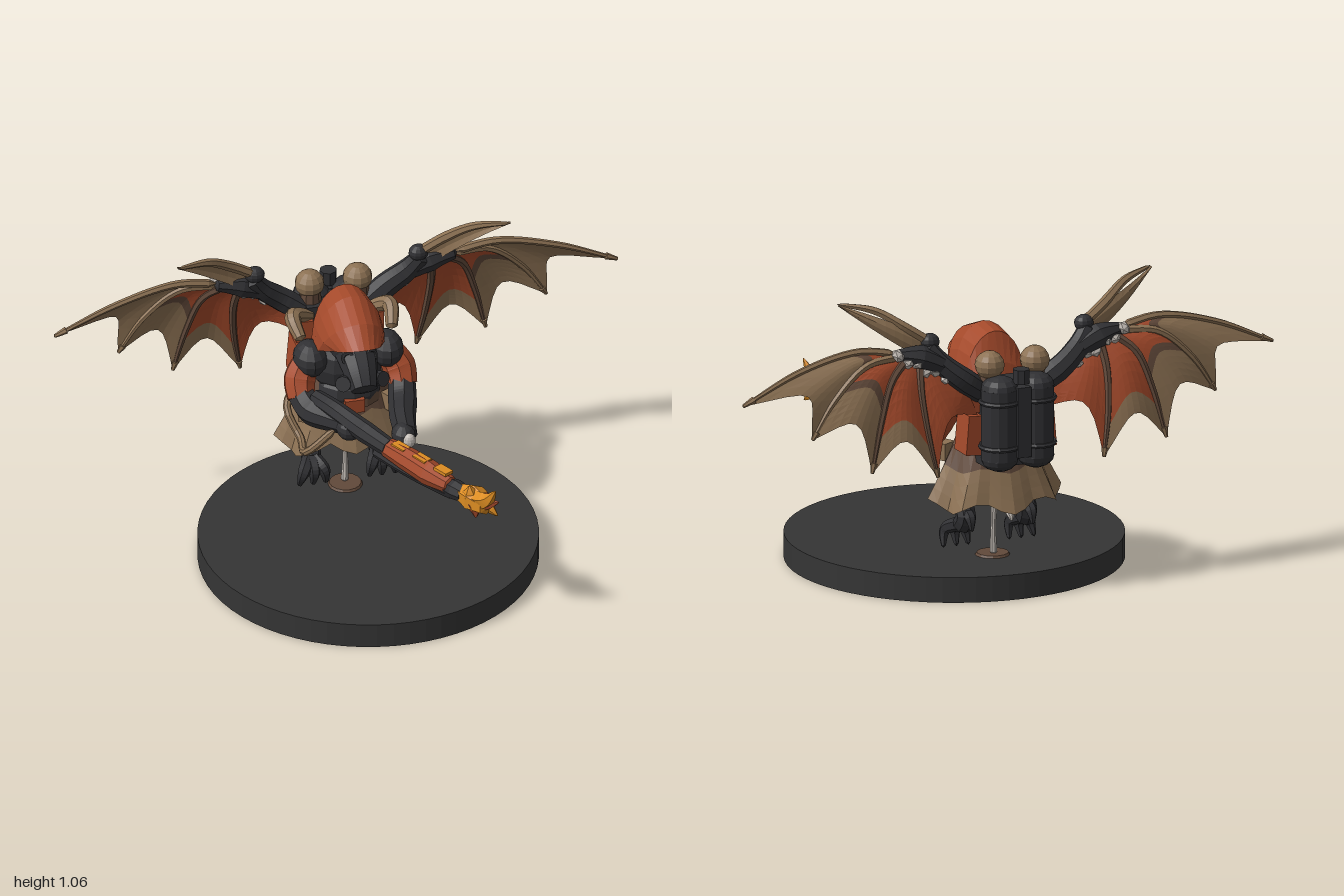
import * as THREE from 'three';

const mat = (name, color) => {
  const m = new THREE.MeshStandardMaterial({ color, flatShading: true, side: THREE.DoubleSide });
  m.name = name;
  return m;
};

export function createModel() {
  const M = {
    base: mat('base grey', 0x353535), dark: mat('charcoal', 0x303033),
    rust: mat('rust red', 0xa54a2b), tan: mat('tan leather', 0x8c7153),
    brown: mat('dark brown', 0x61493a), bone: mat('bone white', 0xc4bdb6),
    orange: mat('flame orange', 0xdc8c22),
  };
  const root = new THREE.Group();
  root.name = 'wingedWarrior';
  const V = (p) => new THREE.Vector3(...p);
  const add = (name, geo, m, p = [0, 0, 0], r = [0, 0, 0], s = [1, 1, 1]) => {
    const mesh = new THREE.Mesh(geo, m);
    mesh.name = name;
    mesh.position.set(...p);
    mesh.rotation.set(...r);
    mesh.scale.set(...s);
    root.add(mesh);
    return mesh;
  };
  const ball = (name, m, p, s) => add(name, new THREE.SphereGeometry(1, 12, 8), m, p, [0, 0, 0], s);
  const box = (name, m, p, s, r) => add(name, new THREE.BoxGeometry(...s), m, p, r);

  // Tapered tube through points, closed at both ends
  const limb = (name, m, pts, radii, sides = 8) => {
    const curve = new THREE.CatmullRomCurve3(pts.map(V));
    const n = 18;
    const g = new THREE.TubeGeometry(curve, n, 1, sides);
    const pos = g.attributes.position, v = new THREE.Vector3();
    for (let i = 0; i <= n; i++) {
      const c = curve.getPointAt(i / n), f = (i / n) * (radii.length - 1);
      const k = Math.min(Math.floor(f), radii.length - 2);
      const r = i === 0 || i === n ? 0.0005 : THREE.MathUtils.lerp(radii[k], radii[k + 1], f - k);
      for (let j = 0; j <= sides; j++) {
        const id = i * (sides + 1) + j;
        v.fromBufferAttribute(pos, id).sub(c).multiplyScalar(r).add(c);
        pos.setXYZ(id, v.x, v.y, v.z);
      }
    }
    return add(name, g, m);
  };

  // Grid surface from a rule f(u, v) giving a point
  const surface = (name, m, nu, nv, f) => {
    const pos = [], idx = [];
    for (let j = 0; j <= nv; j++) for (let i = 0; i <= nu; i++) pos.push(...f(i / nu, j / nv));
    for (let j = 0; j < nv; j++) for (let i = 0; i < nu; i++) {
      const a = j * (nu + 1) + i, b = a + nu + 1;
      idx.push(a, b, a + 1, b, b + 1, a + 1);
    }
    const g = new THREE.BufferGeometry();
    g.setAttribute('position', new THREE.Float32BufferAttribute(pos, 3));
    g.setIndex(idx);
    g.computeVertexNormals();
    return add(name, g, m);
  };
  const lerp = THREE.MathUtils.lerp;

  // Display base and support rod
  add('base', new THREE.CylinderGeometry(0.587, 0.587, 0.09, 64), M.base, [0, 0.045, 0]);
  add('rodFoot', new THREE.CylinderGeometry(0.055, 0.06, 0.008, 16), M.brown, [0, 0.094, -0.32]);
  limb('supportRod', M.bone, [[0, 0.09, -0.33], [0.004, 0.18, -0.335], [0, 0.32, -0.34]], [0.014, 0.009, 0.015]);

  // Torso, belt and head
  ball('torso', M.dark, [0, 0.61, -0.32], [0.135, 0.13, 0.12]);
  ball('belly', M.dark, [0, 0.51, -0.3], [0.12, 0.09, 0.11]);
  add('belt', new THREE.CylinderGeometry(0.125, 0.13, 0.035, 16, 1, true), M.brown, [0, 0.49, -0.32]);
  box('buckle', M.rust, [0, 0.49, -0.19], [0.07, 0.05, 0.02]);
  ball('head', M.dark, [0, 0.735, -0.22], [0.085, 0.085, 0.11]);
  limb('maskSnout', M.dark, [[0, 0.72, -0.18], [0, 0.68, -0.1], [0, 0.635, -0.045]], [0.075, 0.062, 0.045], 10);
  ball('chin', M.dark, [0, 0.645, -0.12], [0.05, 0.035, 0.07]);
  for (const s of [1, -1]) {
    add('maskEye', new THREE.TorusGeometry(0.02, 0.007, 6, 12), M.dark, [s * 0.04, 0.735, -0.115], [-0.3, s * 0.4, 0]);
    add('maskFilter', new THREE.CylinderGeometry(0.028, 0.028, 0.05, 10), M.dark, [s * 0.06, 0.655, -0.09], [1.2, 0, s * -0.5]);
  }

  // Hood: arched sections [top y, top z, bottom y, bottom z, half width]
  const hood = [
    [0.80, -0.05, 0.74, -0.165, 0.085], [0.862, -0.125, 0.70, -0.24, 0.118], [0.905, -0.24, 0.69, -0.28, 0.125],
    [0.893, -0.34, 0.69, -0.34, 0.115], [0.79, -0.375, 0.695, -0.375, 0.10], [0.70, -0.39, 0.69, -0.385, 0.07],
  ];
  surface('hood', M.rust, 12, 5, (u, v) => {
    const [ty, tz, by, bz, w] = hood[Math.round(v * 5)];
    const a = u * Math.PI, k = Math.pow(Math.sin(a) + 1e-9, 0.75);
    return [w * Math.cos(a) * (1 - 0.12 * k), lerp(by, ty, k), lerp(bz, tz, k)];
  });

  // Coat skirt flaring out to a wavy hem
  const skirt = (v0, v1) => (u, t) => {
    const a = u * Math.PI * 2, v = lerp(v0, v1, t);
    const hem = 0.3 + 0.02 * Math.cos(a * 6) + (Math.sin(a) > 0.85 ? 0.03 : 0);
    const wave = 1 + 0.07 * v * Math.cos(a * 8);
    return [Math.cos(a) * lerp(0.12, 0.235, v) * wave, lerp(0.57, hem, v), -0.335 + Math.sin(a) * lerp(0.09, 0.165, v) * wave];
  };
  surface('coatWaist', M.brown, 32, 2, skirt(0, 0.53));
  surface('coatHem', M.tan, 32, 3, skirt(0.53, 1));
  limb('tail', M.tan, [[0, 0.42, -0.38], [0, 0.34, -0.42], [0, 0.28, -0.46]], [0.04, 0.025, 0.016]);
  limb('tailTip', M.bone, [[0, 0.285, -0.455], [0, 0.265, -0.475], [0, 0.25, -0.48]], [0.016, 0.014, 0.005]);

  // Backpack frame and centre
  box('backpackFrame', M.dark, [0, 0.61, -0.47], [0.22, 0.3, 0.1]);
  box('backpackSpine', M.dark, [0, 0.63, -0.56], [0.05, 0.25, 0.06]);
  add('backpackValve', new THREE.CylinderGeometry(0.03, 0.03, 0.05, 8), M.dark, [0, 0.79, -0.56]);

  for (const s of [1, -1]) {
    const P = (...pts) => pts.map(([x, y, z]) => [x * s, y, z]);

    // Tanks, domes, side pouches
    add('tank', new THREE.CylinderGeometry(0.065, 0.065, 0.25, 14), M.dark, [s * 0.068, 0.62, -0.53]);
    ball('tankTop', M.dark, [s * 0.068, 0.745, -0.53], [0.065, 0.045, 0.065]);
    ball('tankBottom', M.dark, [s * 0.068, 0.495, -0.53], [0.065, 0.045, 0.065]);
    for (const y of [0.54, 0.7]) add('tankBand', new THREE.TorusGeometry(0.066, 0.009, 6, 16), M.dark, [s * 0.068, y, -0.53], [Math.PI / 2, 0, 0]);
    ball('exhaustDome', M.tan, [s * 0.085, 0.82, -0.485], [0.052, 0.05, 0.052]);
    add('exhaustNeck', new THREE.CylinderGeometry(0.035, 0.045, 0.1, 10), M.brown, [s * 0.085, 0.755, -0.475]);
    box('sidePouch', M.rust, [s * 0.135, 0.57, -0.43], [0.06, 0.14, 0.1], [0, 0, s * 0.08]);
    box('upperPouch', M.rust, [s * 0.125, 0.685, -0.425], [0.06, 0.08, 0.07]);
    box('hipPouch', M.tan, [s * 0.15, 0.46, -0.24], [0.06, 0.06, 0.06], [0, s * 0.5, 0]);
    limb('shoulderStrap', M.tan, P([0.09, 0.72, -0.43], [0.17, 0.76, -0.38], [0.16, 0.71, -0.3]), [0.02, 0.03, 0.02]);

    // Shoulders and sleeves
    ball('shoulder', M.dark, [s * 0.135, 0.65, -0.28], [0.06, 0.065, 0.075]);
    limb('sleeve', M.rust, P([0.14, 0.64, -0.29], [0.175, 0.58, -0.265], [0.18, 0.52, -0.22]), [0.05, 0.058, 0.05]);

    // Legs with clawed feet
    limb('leg', M.dark, P([0.08, 0.43, -0.34], [0.115, 0.31, -0.3], [0.115, 0.25, -0.355], [0.12, 0.2, -0.32]), [0.055, 0.048, 0.035, 0.035]);
    for (const dx of [-0.035, 0, 0.038]) {
      limb('toe', M.dark, P([0.12, 0.22, -0.335], [0.12 + dx, 0.185, -0.275], [0.122 + dx * 1.3, 0.125, -0.29]), [0.026, 0.023, 0.007], 6);
    }
    limb('hindToe', M.dark, P([0.115, 0.26, -0.35], [0.115, 0.25, -0.39], [0.115, 0.205, -0.405]), [0.022, 0.02, 0.006], 6);

    // Wing arm and hooked thumb
    limb('wingArm', M.dark, P([0.09, 0.71, -0.46], [0.19, 0.78, -0.475], [0.26, 0.84, -0.46], [0.31, 0.91, -0.44]), [0.04, 0.045, 0.04, 0.03]);
    ball('wingElbow', M.dark, [s * 0.29, 0.915, -0.44], [0.035, 0.03, 0.03]);
    limb('wingForearm', M.dark, P([0.25, 0.83, -0.465], [0.34, 0.87, -0.46], [0.43, 0.885, -0.455]), [0.035, 0.045, 0.02]);
    surface('thumbBlade', M.tan, 3, 10, (u, v) => {
      const x = lerp(0.3, 0.59, v);
      const top = 0.92 + 0.135 * Math.pow(v, 0.72), low = 0.85 + 0.2 * Math.pow(v, 1.15);
      return [s * x, lerp(top, low, u), -0.435 + 0.1 * v * v - 0.01 * Math.sin(u * Math.PI)];
    });
    limb('thumbBone', M.tan, P([0.29, 0.915, -0.44], [0.38, 0.975, -0.42], [0.47, 1.03, -0.38], [0.59, 1.055, -0.33]), [0.018, 0.018, 0.014, 0.006], 6);

    // Wing fingers fanned from the wrist
    const fingers = [
      [[0.42, 0.89, -0.455], [0.57, 0.912, -0.45], [0.78, 0.865, -0.445], [1.0, 0.768, -0.45]],
      [[0.415, 0.88, -0.46], [0.55, 0.865, -0.48], [0.67, 0.765, -0.495], [0.76, 0.632, -0.5]],
      [[0.39, 0.87, -0.465], [0.46, 0.81, -0.5], [0.51, 0.68, -0.525], [0.555, 0.5, -0.545]],
      [[0.34, 0.85, -0.465], [0.35, 0.76, -0.5], [0.34, 0.62, -0.535], [0.312, 0.462, -0.56]],
      [[0.27, 0.82, -0.465], [0.22, 0.77, -0.475], [0.16, 0.72, -0.475], [0.12, 0.64, -0.46]],
    ].map((f) => P(...f));
    const curves = fingers.map((f) => new THREE.CatmullRomCurve3(f.map(V)));
    fingers.slice(0, 4).forEach((f, i) => {
      limb('wingFinger', i < 2 ? M.tan : M.brown, f, [0.016, 0.013, 0.011, 0.006], 6);
      const tip = V(f[3]), back = curves[i].getPoint(0.93);
      limb('fingerClaw', M.tan, [back.toArray(), tip.toArray()], [0.013, 0.006], 6);
    });

    // Scalloped membranes: rust inside, tan toward the edge
    for (let i = 0; i < 4; i++) {
      const skin = (v0, v1) => (u, t) => {
        const v = lerp(v0, v1, t), sag = Math.sin(u * Math.PI);
        const w = v * (1 - (i === 3 ? 0.3 : 0.24) * sag);
        const p = curves[i].getPoint(w).lerp(curves[i + 1].getPoint(w), u);
        return [p.x, p.y, p.z - 0.02 * sag * v];
      };
      const split = [0.42, 0.62, 0.8, 0.93][i], mid = split - 0.1;
      surface('membraneInner', M.rust, 8, 6, skin(0, mid));
      surface('membraneBand', i < 2 ? M.brown : M.rust, 8, 2, skin(mid, split));
      surface('membraneEdge', i < 3 ? M.tan : M.rust, 8, 5, skin(split, 1));
    }

    // Ragged fur round the wrist
    for (let k = 0; k < 6; k++) {
      const t = k / 5;
      add('wristFur', new THREE.IcosahedronGeometry(0.021, 0), M.bone,
        [s * lerp(0.25, 0.425, t), lerp(0.785, 0.875, t) + (k % 2) * 0.014, -0.475], [k, k * 2, 0], [1, 0.9, 1.3]);
    }
  }

  // Right arm holding the weapon
  limb('rightForearm', M.dark, [[-0.18, 0.54, -0.24], [-0.16, 0.51, -0.17], [-0.1, 0.51, -0.09], [-0.05, 0.52, -0.02]], [0.048, 0.05, 0.042, 0.035]);
  ball('rightHand', M.dark, [-0.06, 0.51, -0.03], [0.045, 0.045, 0.05]);

  // Left arm reaching forward, with pale claw
  limb('leftForearm', M.dark, [[0.18, 0.54, -0.24], [0.165, 0.5, -0.17], [0.14, 0.49, -0.07], [0.125, 0.485, 0.04]], [0.048, 0.05, 0.045, 0.04]);
  ball('leftHand', M.dark, [0.12, 0.485, 0.02], [0.042, 0.042, 0.05]);
  ball('leftClaw', M.bone, [0.13, 0.485, 0.065], [0.022, 0.028, 0.018]);

  // Weapon: charcoal stock, rust barrel, muzzle and fittings
  limb('weaponStock', M.dark, [[-0.15, 0.55, -0.2], [-0.1, 0.55, -0.1], [-0.03, 0.53, 0.02], [0.05, 0.515, 0.16]], [0.03, 0.035, 0.038, 0.032]);
  limb('weaponBarrel', M.rust, [[0.025, 0.515, 0.11], [0.1, 0.51, 0.24], [0.15, 0.505, 0.33], [0.2, 0.5, 0.41]], [0.033, 0.042, 0.045, 0.028]);
  limb('underBarrel', M.dark, [[0, 0.47, 0.06], [0.1, 0.465, 0.24], [0.21, 0.475, 0.42]], [0.022, 0.022, 0.026]);
  limb('muzzle', M.dark, [[0.18, 0.49, 0.37], [0.205, 0.49, 0.41], [0.23, 0.49, 0.45]], [0.03, 0.036, 0.03]);
  for (const t of [0.25, 0.55, 0.85]) {
    box('barrelGlow', M.orange, [lerp(0.025, 0.2, t), 0.545, lerp(0.11, 0.41, t)], [0.035, 0.012, 0.06], [0, 0.5, 0]);
  }
  limb('weaponHose', M.tan, [[-0.1, 0.5, -0.05], [-0.2, 0.4, -0.08], [-0.19, 0.385, -0.19], [-0.22, 0.47, -0.27], [-0.14, 0.52, -0.38]], [0.014, 0.014, 0.014]);

  // Flame tongues
  limb('flameCore', M.orange, [[0.21, 0.49, 0.41], [0.255, 0.49, 0.48], [0.285, 0.49, 0.55]], [0.025, 0.05, 0.03], 6);
  const tongues = [[0.3, 0.585, 0.598], [0.315, 0.53, 0.585], [0.32, 0.45, 0.55], [0.25, 0.435, 0.52], [0.235, 0.55, 0.49], [0.29, 0.54, 0.535]];
  tongues.forEach((tip, i) => {
    const mid = [lerp(0.25, tip[0], 0.6), lerp(0.49, tip[1], 0.35), lerp(0.47, tip[2], 0.65)];
    limb('flameTongue', i % 2 ? M.rust : M.orange, [[0.24, 0.49, 0.46], mid, tip], [0.03, 0.03, 0.003], 5);
  });
  return root;
}
